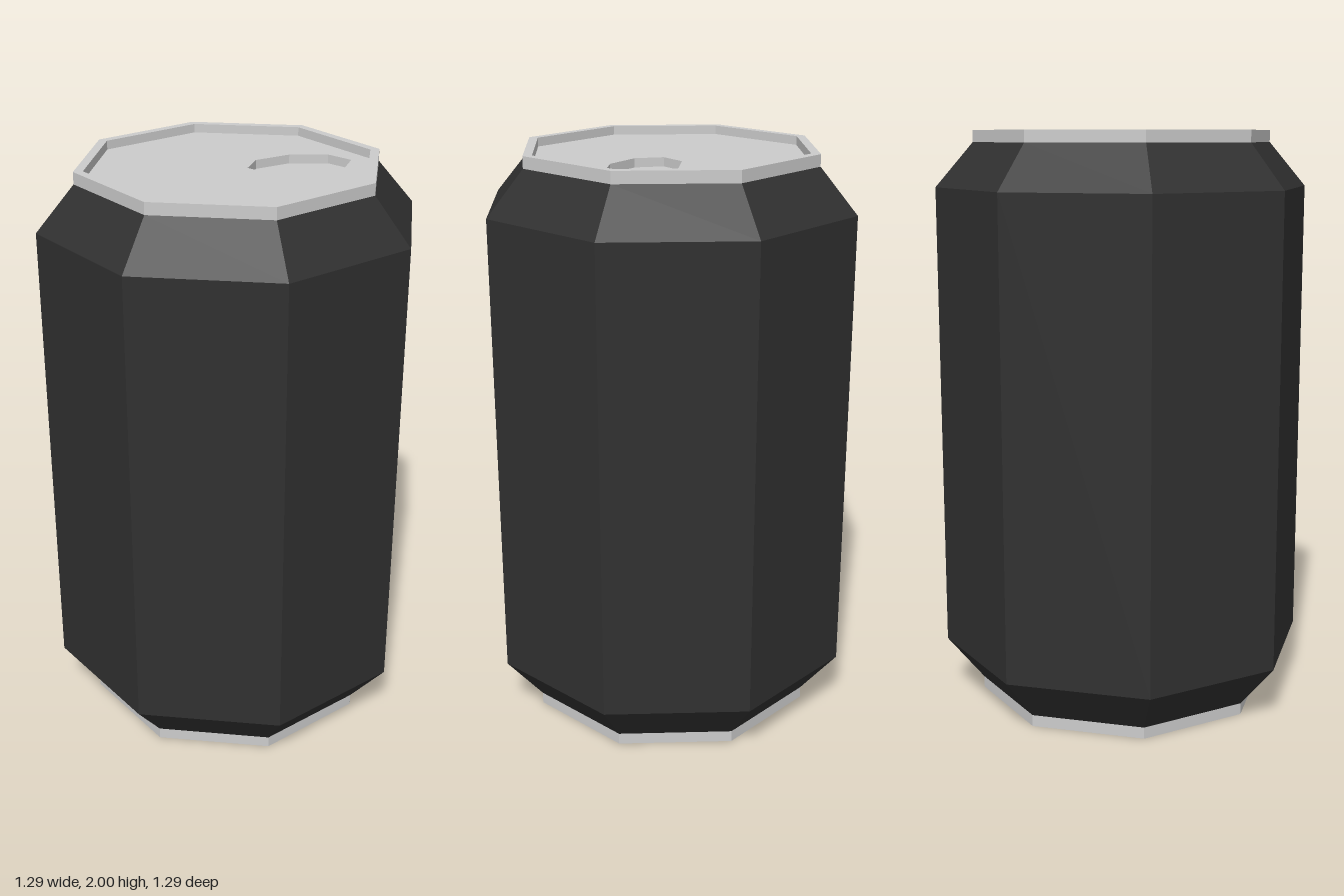
import * as THREE from 'three';

const SIDES = 8;
const TOP = 2, RIM = 0.04, RECESS = 0.03;
const R_BODY = 0.643, R_RIM = 0.514, R_LID = 0.482;

const metal = new THREE.MeshStandardMaterial({ color: 0xcccccc, flatShading: true });
const paint = new THREE.MeshStandardMaterial({ color: 0x303030, flatShading: true });

// Faceted solid of revolution from [radius, height] pairs
function turned(name, profile, material) {
  const points = profile.map(([r, y]) => new THREE.Vector2(r, y));
  const mesh = new THREE.Mesh(new THREE.LatheGeometry(points, SIDES), material);
  mesh.name = name;
  return mesh;
}

// Corners of an eight-sided ellipse
function octagon(cx, rx, ry) {
  return Array.from({ length: SIDES }, (_, i) => {
    const a = (i / SIDES) * Math.PI * 2;
    return new THREE.Vector2(cx + rx * Math.cos(a), ry * Math.sin(a));
  });
}

export function createModel() {
  const can = new THREE.Group();
  can.name = 'drinkCan';

  // Painted body with tapered shoulders
  can.add(turned('body', [
    [R_RIM, RIM], [R_BODY, 0.195], [R_BODY, 1.81], [R_RIM, TOP - RIM],
  ], paint));

  // Bottom rim and its recessed base
  can.add(turned('base', [
    [0, RECESS], [R_LID, RECESS], [R_LID, 0], [R_RIM, 0], [R_RIM, RIM],
  ], metal));

  // Raised rim round the lid
  can.add(turned('topRim', [
    [R_RIM, TOP - RIM], [R_RIM, TOP], [R_LID, TOP], [R_LID, TOP - RECESS],
  ], metal));

  // Lid with the mouth opening cut out
  const mouth = { x: 0.237, rx: 0.179, rz: 0.116 };
  const lidShape = new THREE.Shape(octagon(0, R_LID, R_LID));
  lidShape.holes.push(new THREE.Path(octagon(mouth.x, mouth.rx, mouth.rz)));
  const lid = new THREE.Mesh(new THREE.ShapeGeometry(lidShape).rotateX(-Math.PI / 2), metal);
  lid.name = 'lid';
  lid.position.y = TOP - RECESS;
  can.add(lid);

  // Sunken mouth: walls and floor
  const well = turned('mouthRecess', [[1, 0], [1, -RECESS], [0, -RECESS]], metal);
  well.scale.set(mouth.rx, 1, mouth.rz);
  well.position.set(mouth.x, TOP - RECESS, 0);
  can.add(well);

  return can;
}
